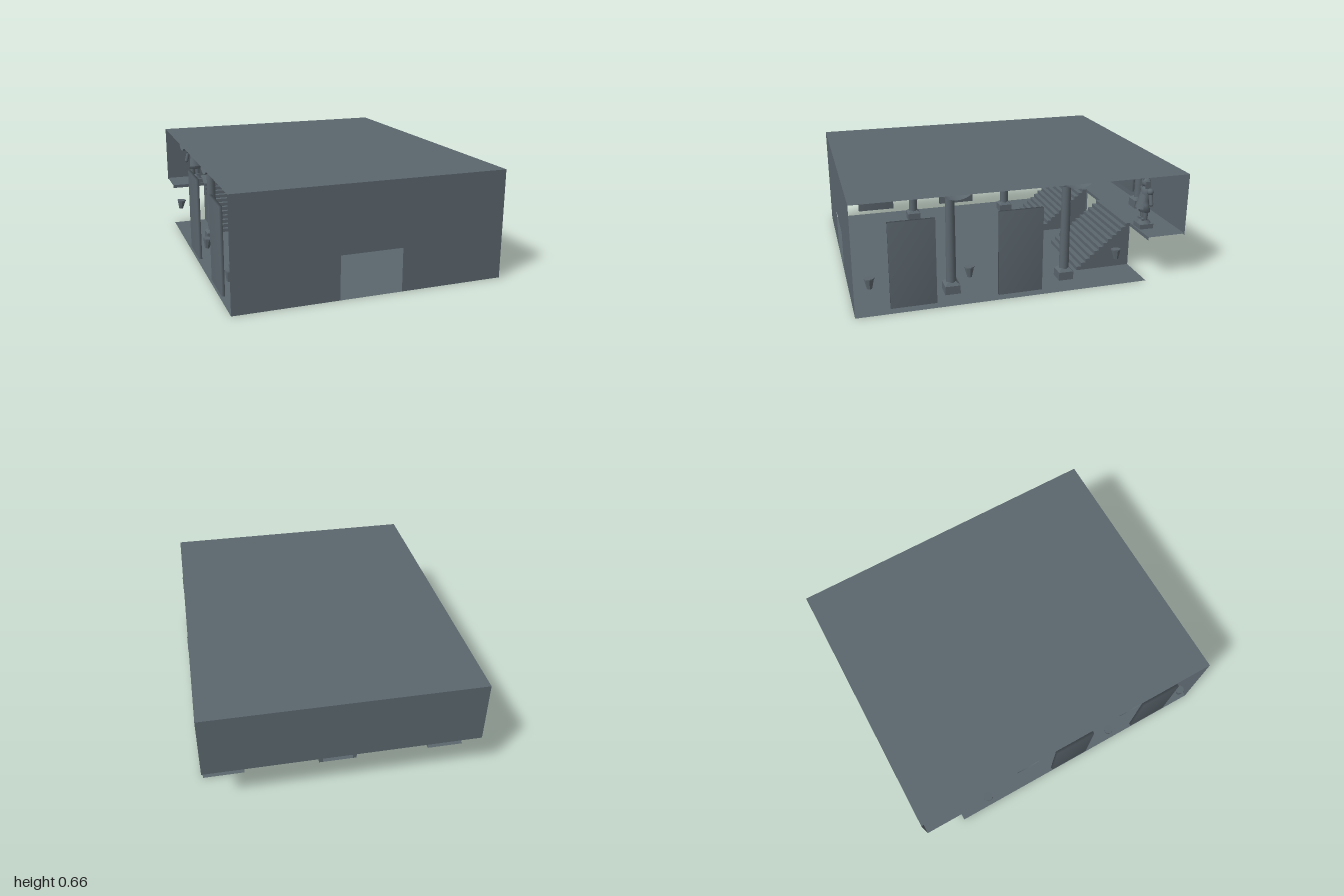
import * as THREE from 'three';
import { mergeVertices } from 'three/addons/utils/BufferGeometryUtils.js';

export function createModel() {
  const root = new THREE.Group();
  const stone = new THREE.MeshStandardMaterial({ color: 0x5b666d, side: THREE.DoubleSide });
  stone.name = 'slate grey';

  const W = 0.815, H = 0.66, CX = -0.0125; // half width, height, door centre
  const LAND = 0.283, ZS = -0.76, ZF = -0.41; // landing height, stair back and foot

  const add = (parent, name, geo, x = 0, y = 0, z = 0) => {
    const m = new THREE.Mesh(geo, stone);
    m.name = name;
    m.position.set(x, y, z);
    parent.add(m);
    return m;
  };
  const group = (name, x = 0, y = 0, z = 0) => {
    const g = new THREE.Group();
    g.name = name;
    g.position.set(x, y, z);
    root.add(g);
    return g;
  };
  const polygon = pts => new THREE.Shape(pts.map(p => new THREE.Vector2(...p)));
  // Upright wall sheet and flat sheet, given by their limits
  const wall = (parent, name, x0, x1, y0, y1, z) =>
    add(parent, name, new THREE.PlaneGeometry(x1 - x0, y1 - y0), (x0 + x1) / 2, (y0 + y1) / 2, z);
  const flat = (parent, name, x0, x1, z0, z1, y, up = true) =>
    add(parent, name, new THREE.PlaneGeometry(x1 - x0, z1 - z0).rotateX(up ? -Math.PI / 2 : Math.PI / 2),
      (x0 + x1) / 2, y, (z0 + z1) / 2);

  // Hall shell: open at both sides
  flat(root, 'roof', -W, W, -1, 1, H);
  const front = polygon([[-W, 0], [-0.2, 0], [-0.2, 0.262], [0.175, 0.262], [0.175, 0], [W, 0], [W, H], [-W, H]]);
  add(root, 'frontWall', new THREE.ShapeGeometry(front), 0, 0, 1);
  wall(root, 'backWall', -W, W, LAND - 0.01, H, -1).rotation.y = Math.PI;
  flat(root, 'landing', -W, W, -1, ZS, LAND);
  wall(root, 'landingEdge', -W, W, 0.262, LAND, ZS);

  // Floor, notched under the two flights of stairs
  const inner = 0.118, outer = 0.577;
  const floor = polygon([
    [-W, -1], [W, -1], [W, -ZS], [CX + outer, -ZS], [CX + outer, -ZF], [CX + inner, -ZF], [CX + inner, -ZS],
    [CX - inner, -ZS], [CX - inner, -ZF], [CX - outer, -ZF], [CX - outer, -ZS], [-W, -ZS]]);
  add(root, 'floor', new THREE.ShapeGeometry(floor).rotateX(Math.PI / 2).scale(1, 1, -1).rotateX(Math.PI).scale(1, 1, 1));
  root.getObjectByName('floor').geometry = new THREE.ShapeGeometry(floor).rotateX(-Math.PI / 2);

  // Two hollow flights of stairs with a passage between them
  const N = 12, run = (ZF - ZS) / N, rise = LAND / N;
  const profile = [[ZS, 0], [ZF, 0]];
  for (let i = 0; i < N; i++) {
    profile.push([ZF - i * run, (i + 1) * rise], [ZF - (i + 1) * run, (i + 1) * rise]);
  }
  for (const s of [-1, 1]) {
    const stairs = group('stairs');
    const x0 = CX + Math.min(s * inner, s * outer), x1 = CX + Math.max(s * inner, s * outer);
    for (let i = 0; i < N; i++) {
      wall(stairs, 'riser', x0, x1, i * rise, (i + 1) * rise, ZF - i * run);
      flat(stairs, 'tread', x0, x1, ZF - (i + 1) * run, ZF - i * run, (i + 1) * rise);
    }
    for (const x of [x0, x1]) {
      add(stairs, 'stairSide', new THREE.ShapeGeometry(polygon(profile)).rotateY(-Math.PI / 2), x);
    }
    const a = CX + s * 0.095, b = CX + s * inner;
    wall(stairs, 'passageJamb', Math.min(a, b), Math.max(a, b), 0, 0.262, ZS);
  }

  // Column: square foot, chamfer, round shaft, square cap
  const column = (x, y, z, h, w) => {
    const c = group('column', x, y, z);
    add(c, 'columnFoot', new THREE.BoxGeometry(w, 0.052, w), 0, 0.026);
    add(c, 'columnCollar', new THREE.CylinderGeometry(w * 0.36, w * 0.7, 0.02, 4).rotateY(Math.PI / 4).toNonIndexed(), 0, 0.062)
      .geometry.computeVertexNormals();
    add(c, 'columnShaft', new THREE.CylinderGeometry(w * 0.29, w * 0.33, h - 0.08, 20), 0, 0.05 + (h - 0.08) / 2);
    add(c, 'columnCap', new THREE.BoxGeometry(w * 0.77, 0.035, w * 0.77), 0, h - 0.0175);
  };

  // Shallow rounded ribs under the roof, carried by the columns
  const rib = z => {
    const half = 0.076, sag = 0.024;
    const r = (half * half + sag * sag) / (2 * sag), a = Math.asin(half / r);
    const geo = new THREE.CylinderGeometry(r, r, 2 * W + 0.006, 12, 1, true, -a, 2 * a);
    geo.rotateX(Math.PI / 2).rotateY(Math.PI / 2);
    // Turn the arc so that it bulges downward
    geo.computeBoundingBox();
    const p = geo.attributes.position;
    for (let i = 0; i < p.count; i++) {
      const d = Math.sqrt(Math.max(0, r * r - p.getZ(i) ** 2));
      p.setY(i, -(d - (r - sag)));
    }
    geo.computeVertexNormals();
    add(root, 'ceilingRib', geo, 0, H - 0.002, z);
  };

  // Wall panel with soft shading over its corners
  const panelGeo = (w, h, d) => {
    let g = new THREE.BoxGeometry(w, h, d);
    g.deleteAttribute('uv');
    g.deleteAttribute('normal');
    g = mergeVertices(g);
    g.computeVertexNormals();
    return g;
  };

  // Wall torch: tapered cup with a small pointed tip
  const torch = (s, z) => {
    const t = group('torch', s * 0.798, 0.16, z);
    const cup = new THREE.CylinderGeometry(0.029, 0.014, 0.06, 8).toNonIndexed();
    cup.computeVertexNormals();
    add(t, 'torchCup', cup, 0, 0.032);
    add(t, 'torchRim', new THREE.CylinderGeometry(0.03, 0.03, 0.006, 8), 0, 0.06);
    t.rotation.z = s * 0.12;
  };

  // Helmeted guardian statue
  const statue = x => {
    const g = group('statue', x, LAND, -0.812);
    add(g, 'plinth', new THREE.BoxGeometry(0.09, 0.03, 0.09), 0, 0.015);
    add(g, 'plinthTop', new THREE.CylinderGeometry(0.03, 0.045, 0.022, 12), 0, 0.041);
    for (const s of [-1, 1]) {
      add(g, 'leg', new THREE.CylinderGeometry(0.019, 0.013, 0.08, 10), s * 0.018, 0.09);
      add(g, 'foot', new THREE.BoxGeometry(0.022, 0.014, 0.04), s * 0.018, 0.056, 0.006);
      const arm = add(g, 'arm', new THREE.CapsuleGeometry(0.013, 0.065, 4, 10), s * 0.05, 0.195, -0.012);
      arm.rotation.z = s * 0.25;
      add(g, 'shoulder', new THREE.SphereGeometry(0.021, 12, 8), s * 0.043, 0.24, -0.008);
      add(g, 'helmetFlap', new THREE.BoxGeometry(0.01, 0.045, 0.032), s * 0.025, 0.278);
    }
    const torso = [[0.001, 0.1], [0.042, 0.105], [0.034, 0.15], [0.03, 0.175], [0.039, 0.225], [0.03, 0.255], [0.012, 0.262]];
    add(g, 'tunic', new THREE.LatheGeometry(torso.map(p => new THREE.Vector2(...p)), 16)).scale.z = 0.8;
    const cape = add(g, 'cape', new THREE.CylinderGeometry(0.03, 0.05, 0.12, 12, 1, true, -1.1, 2.2), 0, 0.185, 0.002);
    cape.rotation.x = -0.12;
    add(g, 'head', new THREE.SphereGeometry(0.024, 14, 10), 0, 0.285);
    add(g, 'helmet', new THREE.SphereGeometry(0.029, 14, 8, 0, Math.PI * 2, 0, Math.PI / 2), 0, 0.29);
    const crest = polygon([[-0.026, 0.29], [0.022, 0.3], [0.012, 0.335], [-0.012, 0.366], [-0.022, 0.362]]);
    add(g, 'helmetCrest', new THREE.ExtrudeGeometry(crest, { depth: 0.014, bevelEnabled: false })
      .translate(0, 0, -0.007).rotateY(Math.PI / 2));
  };

  for (const z of [0.415, -0.295]) rib(z);
  for (const s of [-1, 1]) {
    for (const z of [0.415, -0.295]) column(s * 0.63, 0, z, 0.635, 0.092);
    for (const z of [0.67, 0.045]) add(root, 'sidePanel', panelGeo(0.018, 0.51, 0.263), s * 0.808, 0.287, z);
    for (const z of [0.91, 0.345, -0.56]) torch(s, z);
    statue(s * 0.64);
    column(CX + s * 0.3, LAND, -0.952, 0.37, 0.088);
  }
  // Tall panel on the back wall between the columns
  add(root, 'backPanel', panelGeo(0.3, 0.26, 0.018), CX, 0.46, -0.99);

  return root;
}
